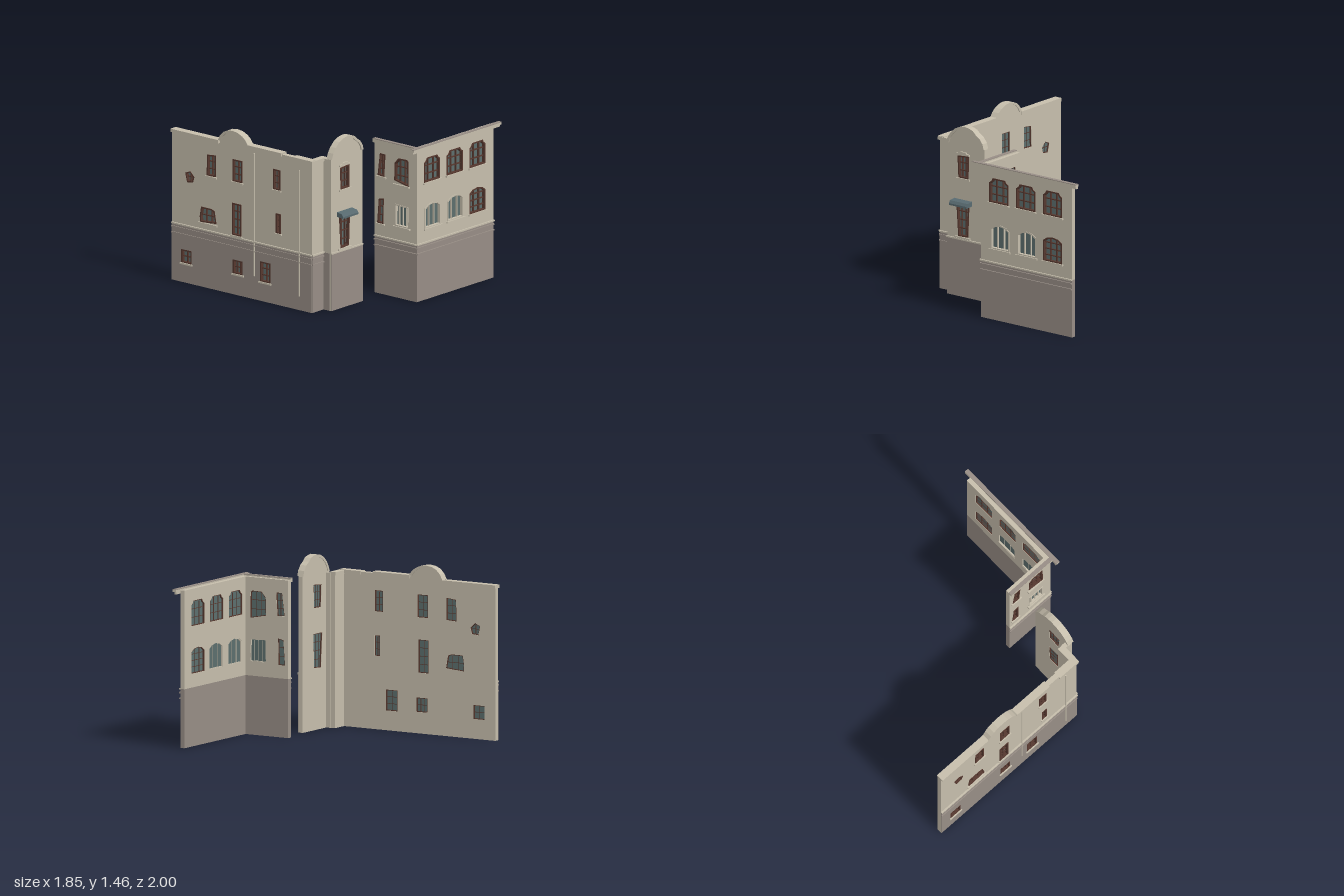
import * as THREE from 'three';

const mat = (name, color, side = THREE.FrontSide) => {
  const m = new THREE.MeshStandardMaterial({ color, side });
  m.name = name;
  return m;
};
const plaster = mat('plaster', 0xc6beac);
const base = mat('basePaint', 0x978d85);
const glass = mat('glass', 0x5c6e6d, THREE.DoubleSide);
const wood = mat('wood', 0x56382f);
const awningMat = mat('awning', 0x586a70);

const T = 0.04; // wall thickness
const toShape = (pts) => new THREE.Shape(pts.map(([x, y]) => new THREE.Vector2(x, y)));
const rect = (x0, x1, y0, y1) => [[x0, y0], [x1, y0], [x1, y1], [x0, y1]];
const bounds = (pts) => {
  const xs = pts.map((p) => p[0]), ys = pts.map((p) => p[1]);
  return [Math.min(...xs), Math.max(...xs), Math.min(...ys), Math.max(...ys)];
};

function add(g, name, geo, m) {
  const mesh = new THREE.Mesh(geo, m);
  mesh.name = name;
  g.add(mesh);
  return mesh;
}
function box(g, name, m, x0, x1, y0, y1, z0, z1) {
  const geo = new THREE.BoxGeometry(x1 - x0, y1 - y0, z1 - z0);
  geo.translate((x0 + x1) / 2, (y0 + y1) / 2, (z0 + z1) / 2);
  return add(g, name, geo, m);
}
// Flat slab with holes between two depths
function slab(g, name, m, pts, holes, z0, z1) {
  const s = toShape(pts);
  holes.forEach((h) => s.holes.push(toShape(h)));
  const geo = new THREE.ExtrudeGeometry(s, { depth: z1 - z0, bevelEnabled: false });
  geo.translate(0, 0, z0);
  return add(g, name, geo, m);
}
function inset(pts, b) {
  const [x0, x1, y0, y1] = bounds(pts);
  const cx = (x0 + x1) / 2, cy = (y0 + y1) / 2;
  const sx = 1 - (2 * b) / (x1 - x0), sy = 1 - (2 * b) / (y1 - y0);
  return pts.map(([x, y]) => [cx + (x - cx) * sx, cy + (y - cy) * sy]);
}
// Glass, wide outer and thin inner frame, glazing bars and a sill
function addWindow(g, { pts, cols = 2, rows = 3, m = wood, sill = true }) {
  const w = new THREE.Group();
  w.name = 'window';
  const [x0, x1, y0, y1] = bounds(pts);
  add(w, 'pane', new THREE.ShapeGeometry(toShape(pts)).translate(0, 0, 0.014), glass);
  slab(w, 'outerFrame', m, pts, [inset(pts, 0.012)], 0.016, T + 0.004);
  slab(w, 'innerFrame', m, pts, [inset(pts, 0.006)], 0.003, 0.014);
  const bars = (half, za, zb) => {
    for (let i = 1; i < cols; i++) {
      const x = x0 + ((x1 - x0) * i) / cols;
      box(w, 'uprightBar', m, x - half, x + half, y0 + 0.006, y1 - 0.012, za, zb);
    }
    for (let i = 1; i < rows; i++) {
      const y = y0 + ((y1 - y0) * i) / rows;
      box(w, 'crossBar', m, x0 + 0.008, x1 - 0.008, y - half, y + half, za, zb);
    }
  };
  bars(0.004, 0.015, 0.03);
  bars(0.002, 0.008, 0.013);
  if (sill) box(w, 'sill', plaster, x0 - 0.012, x1 + 0.012, y0 - 0.012, y0 + 0.002, T - 0.01, T + 0.014);
  g.add(w);
}
// Three mouldings around the top of the base
function bands(g, x0, x1) {
  box(g, 'upperBand', plaster, x0, x1, 0.484, 0.496, T - 0.005, T + 0.014);
  box(g, 'middleBand', base, x0, x1, 0.453, 0.465, T - 0.005, T + 0.012);
  box(g, 'lowerBand', base, x0, x1, 0.405, 0.415, T - 0.005, T + 0.012);
}
// Rounded gable coping between an outline and its shrunken copy
function archCoping(g, pts, cx, cy, k, z0, z1) {
  const inner = pts.map(([x, y]) => [cx + (x - cx) * k, cy + (y - cy) * k]).reverse();
  slab(g, 'gableCoping', plaster, [...pts, ...inner], [], z0, z1);
}
function section(root, name, x, z, facesSide) {
  const g = new THREE.Group();
  g.name = name;
  g.position.set(x, 0, z);
  if (facesSide) g.rotation.y = -Math.PI / 2; // local x runs along +z, outside is -x
  root.add(g);
  return g;
}

export function createModel() {
  const root = new THREE.Group();
  root.name = 'buildingFacades';

  // Long side wall
  const side = section(root, 'longSideWall', -0.865, 0, true);
  const sideWins = [
    { pts: rect(0.1, 0.18, 0.98, 1.155) },
    { pts: rect(0.13, 0.182, 0.61, 0.78) },
    { pts: rect(-0.34, -0.235, 0.965, 1.155) },
    { pts: rect(-0.345, -0.247, 0.505, 0.78), rows: 4 },
    { pts: [[-0.62, 0.96], [-0.52, 0.965], [-0.52, 1.15], [-0.615, 1.14]] },
    { pts: [[-0.77, 0.87], [-0.755, 0.92], [-0.8, 0.963], [-0.852, 0.94], [-0.832, 0.863]], rows: 2, sill: false },
    { pts: [[-0.69, 0.55], [-0.515, 0.565], [-0.535, 0.67], [-0.57, 0.683], [-0.68, 0.683], [-0.695, 0.6]], cols: 3, rows: 2 },
    { pts: rect(-0.04, 0.072, 0.165, 0.338) },
    { pts: rect(-0.337, -0.228, 0.178, 0.297), cols: 3, rows: 2 },
    { pts: rect(-0.895, -0.785, 0.165, 0.28), rows: 2 },
  ];
  const sideArch = [[-0.16, 1.31], [-0.185, 1.345], [-0.22, 1.373], [-0.27, 1.395], [-0.325, 1.402],
    [-0.38, 1.395], [-0.425, 1.375], [-0.46, 1.34], [-0.485, 1.295]];
  const body = [[-1, 0], [0.52, 0], [0.52, 1.28], [-0.16, 1.285], ...sideArch.slice(1, -1).map(([x, y]) => [x, y - 0.01]),
    [-0.485, 1.28], [-1, 1.265]];
  slab(side, 'wall', plaster, body, sideWins.map((w) => w.pts), 0, T);
  slab(side, 'basePaint', base, rect(-1, 0.52, 0, 0.49), sideWins.slice(7).map((w) => w.pts), T, T + 0.004);
  sideWins.forEach((w) => addWindow(side, w));
  bands(side, -1, 0.52);
  archCoping(side, sideArch, -0.325, 1.285, 0.84, -0.008, T + 0.02);
  box(side, 'coping', plaster, -1, -0.48, 1.265, 1.293, -0.008, T + 0.02);
  box(side, 'coping', plaster, -0.165, 0.2, 1.28, 1.31, -0.008, T + 0.02);
  box(side, 'lowCoping', plaster, 0.2, 0.315, 1.27, 1.296, 0, T + 0.005);
  box(side, 'coping', plaster, 0.315, 0.525, 1.272, 1.302, -0.008, T + 0.02);
  for (const [z, y0, y1] of [[0.39, 0.12, 1.2], [-0.1, 0.2, 1.25]]) {
    const pipe = new THREE.CylinderGeometry(0.006, 0.006, y1 - y0, 8);
    add(side, 'drainpipe', pipe, plaster).position.set(z, (y0 + y1) / 2, T + 0.008);
  }

  // Narrow return walls joining the side wall to the gabled front
  const link = section(root, 'returnWall', 0, 0.48, false);
  box(link, 'wall', plaster, -0.9, -0.725, 0, 1.28, 0, T);
  box(link, 'basePaint', base, -0.905, -0.76, 0, 0.49, T, T + 0.004);
  box(link, 'coping', plaster, -0.92, -0.725, 1.27, 1.297, -0.005, T + 0.012);
  bands(link, -0.905, -0.76);
  box(link, 'stepWall', plaster, -0.76, -0.72, 0, 1.29, T, 0.11);
  box(link, 'stepBase', base, -0.764, -0.76, 0, 0.49, T, 0.11);

  // Gabled front
  const front = section(root, 'gabledFront', 0, 0.562, false);
  const gable = [[-0.365, 1.3], [-0.378, 1.345], [-0.41, 1.387], [-0.45, 1.412], [-0.48, 1.44], [-0.52, 1.454],
    [-0.565, 1.46], [-0.62, 1.45], [-0.67, 1.428], [-0.715, 1.388], [-0.745, 1.345], [-0.765, 1.297]];
  const frontWins = [
    { pts: [[-0.64, 1.012], [-0.535, 1.015], [-0.53, 1.21], [-0.65, 1.2]], cols: 3, rows: 3 },
    { pts: [[-0.642, 0.51], [-0.538, 0.517], [-0.525, 0.8], [-0.662, 0.8]], cols: 3, rows: 4 },
  ];
  const frontBody = [[-0.76, 0], [-0.365, 0], ...gable.map(([x, y]) => [Math.max(x, -0.76), y - 0.006])];
  slab(front, 'wall', plaster, frontBody, frontWins.map((w) => w.pts), 0, T);
  box(front, 'basePaint', base, -0.76, -0.365, 0, 0.49, T, T + 0.004);
  frontWins.forEach((w) => addWindow(front, w));
  box(front, 'upperBand', plaster, -0.764, -0.365, 0.484, 0.496, T, T + 0.012);
  archCoping(front, gable, -0.565, 1.29, 0.88, -0.006, T + 0.013);
  slab(front, 'windowHood', plaster, [[-0.66, 1.212], [-0.52, 1.212], [-0.52, 1.225], [-0.55, 1.228], [-0.56, 1.24],
    [-0.62, 1.24], [-0.63, 1.228], [-0.66, 1.225]], [], T, T + 0.012);
  // Awning: side profile swept across the doorway
  const awning = new THREE.ExtrudeGeometry(
    toShape([[0, 0.79], [0.07, 0.785], [0.07, 0.8], [0.055, 0.822], [0, 0.83]]), { depth: 0.19, bevelEnabled: false });
  awning.rotateY(-Math.PI / 2);
  add(front, 'awning', awning, awningMat).position.set(-0.498, 0, T);

  // Corner block: front wall and its short side wall
  const corner = section(root, 'cornerFrontWall', 0, 0.927, false);
  const top = [[-0.1, 0], [0.1, 0], [0.1, 0.175], [0.078, 0.188], [0.066, 0.21], [-0.064, 0.21], [-0.078, 0.185], [-0.1, 0.17]];
  const arched = [[-0.1, 0], [0.1, 0], [0.1, 0.175], [0.06, 0.203], [0, 0.213], [-0.06, 0.203], [-0.1, 0.175]];
  const at = (pts, x, y) => pts.map(([a, b]) => [a + x, b + y]);
  const cornerWins = [0.085, 0.37, 0.655].flatMap((x, i) => [
    { pts: at(top, x, 1.0), cols: 3, rows: 3 },
    i < 2 ? { pts: at(arched, x + 0.01, 0.605), cols: 3, rows: 1, m: plaster }
      : { pts: at(arched, x, 0.605), cols: 3, rows: 4 },
  ]);
  slab(corner, 'wall', plaster, rect(-0.105, 0.86, 0.49, 1.31), cornerWins.map((w) => w.pts), 0, T);
  box(corner, 'base', base, -0.105, 0.86, 0, 0.49, 0, T);
  cornerWins.forEach((w) => addWindow(corner, w));
  bands(corner, -0.11, 0.86);
  box(corner, 'lowerCornice', plaster, -0.175, 0.92, 1.283, 1.302, T - 0.002, T + 0.02);
  box(corner, 'upperCornice', plaster, -0.18, 0.925, 1.302, 1.32, T - 0.002, T + 0.033);
  box(corner, 'corniceTop', base, -0.18, 0.925, 1.32, 1.325, T - 0.002, T + 0.033);

  const short = section(root, 'cornerSideWall', -0.065, 0, true);
  const shortWins = [
    { pts: [[0.725, 1.0], [0.88, 0.97], [0.878, 1.185], [0.862, 1.198], [0.77, 1.195], [0.73, 1.15]], cols: 3 },
    { pts: [[0.545, 1.01], [0.615, 1.005], [0.628, 1.2], [0.57, 1.202]] },
    { pts: [[0.725, 0.61], [0.885, 0.61], [0.88, 0.795], [0.73, 0.8]], cols: 4, rows: 1, m: plaster },
    { pts: [[0.54, 0.6], [0.605, 0.6], [0.61, 0.82], [0.558, 0.81]], cols: 1 },
  ];
  slab(short, 'wall', plaster, rect(0.51, 0.93, 0.49, 1.31), shortWins.map((w) => w.pts), 0, T);
  box(short, 'base', base, 0.51, 0.93, 0, 0.49, 0, T);
  shortWins.forEach((w) => addWindow(short, w));
  bands(short, 0.51, 0.967);
  box(short, 'cornice', plaster, 0.51, 0.967, 1.29, 1.32, T - 0.008, T + 0.026);
  box(short, 'corniceTop', base, 0.51, 0.967, 1.32, 1.325, T - 0.008, T + 0.026);

  return root;
}
